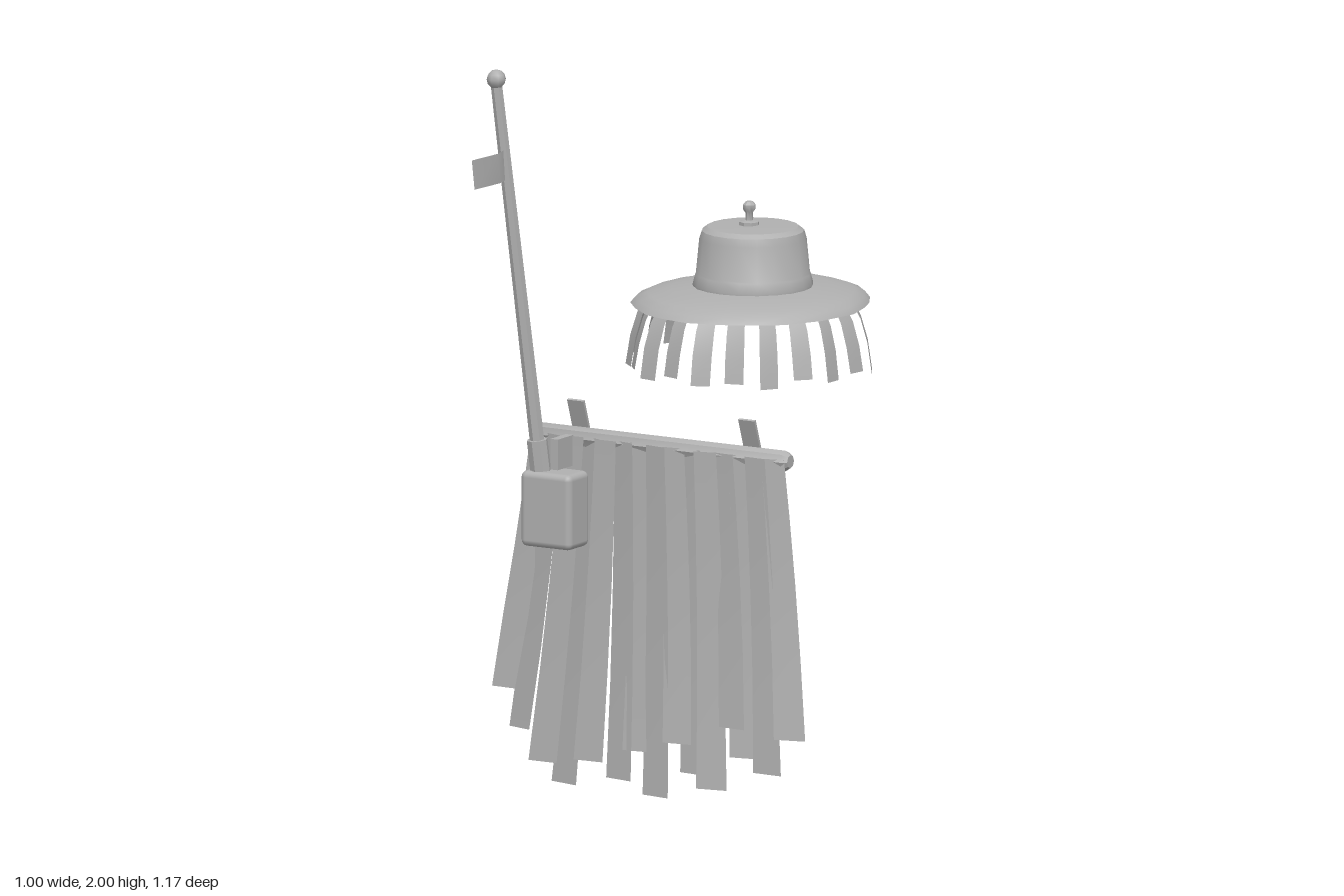
import * as THREE from 'three';
import { toCreasedNormals } from 'three/addons/utils/BufferGeometryUtils.js';
import { RoundedBoxGeometry } from 'three/addons/geometries/RoundedBoxGeometry.js';

const V = (x, y, z) => new THREE.Vector3(x, y, z);

// Surface through rows of points (all rows equally long)
function loft(rows, crease = 0.6) {
  const pos = [], idx = [], n = rows[0].length;
  rows.forEach(r => r.forEach(p => pos.push(p.x, p.y, p.z)));
  for (let i = 0; i < rows.length - 1; i++) for (let j = 0; j < n - 1; j++) {
    const a = i * n + j, b = a + 1, c = a + n, d = c + 1;
    idx.push(a, c, b, b, c, d);
  }
  const g = new THREE.BufferGeometry();
  g.setAttribute('position', new THREE.Float32BufferAttribute(pos, 3));
  g.setIndex(idx);
  return toCreasedNormals(g, crease);
}

// Flat band following centre points, spread along a side direction
function ribbon(centres, widths, side) {
  return loft(centres.map((c, i) => [-0.5, 0.5].map(s => c.clone().addScaledVector(side, s * widths[i]))));
}

export function createModel() {
  const grey = new THREE.MeshStandardMaterial({ color: 0xb0b0b0, side: THREE.DoubleSide });
  grey.name = 'grey';
  const model = new THREE.Group();
  const group = (name) => { const g = new THREE.Group(); g.name = name; model.add(g); return g; };
  const add = (parent, name, geo, x = 0, y = 0, z = 0) => {
    const m = new THREE.Mesh(geo, grey);
    m.name = name;
    m.position.set(x, y, z);
    parent.add(m);
    return m;
  };
  const lathe = (pts, seg) => toCreasedNormals(
    new THREE.LatheGeometry(pts.map(p => new THREE.Vector2(...p)), seg), 0.6);
  // Tapered rod between two points
  const rod = (parent, name, a, b, ra, rb, sides) => {
    const m = add(parent, name, toCreasedNormals(new THREE.CylinderGeometry(rb, ra, a.distanceTo(b), sides), 0.6));
    m.position.copy(a).lerp(b, 0.5);
    m.quaternion.setFromUnitVectors(V(0, 1, 0), b.clone().sub(a).normalize());
    return m;
  };

  // ---- Hat ----
  const hat = group('hat');
  const cx = 0, cz = -0.235;
  add(hat, 'crown', lathe([[0.163, 1.322], [0.165, 1.335], [0.158, 1.362], [0.156, 1.366],
    [0.147, 1.46], [0.14, 1.482], [0.125, 1.493], [0, 1.497]], 20), cx, 0, cz);
  add(hat, 'knob', lathe([[0.028, 1.49], [0.028, 1.505], [0.011, 1.509], [0.011, 1.53],
    [0.018, 1.54], [0.018, 1.552], [0.01, 1.561], [0, 1.562]], 8), -0.01, 0, -0.232);

  // Brim with an uneven edge
  const edge = [[0, -0.585], [-0.09, -0.56], [-0.16, -0.51], [-0.245, -0.475], [-0.31, -0.32],
    [-0.322, -0.22], [-0.313, -0.14], [-0.285, -0.06], [-0.23, 0.005], [-0.15, 0.075], [-0.08, 0.1],
    [0, 0.115], [0.1, 0.09], [0.18, 0.05], [0.245, 0], [0.3, -0.1], [0.325, -0.23], [0.3, -0.33],
    [0.272, -0.4], [0.23, -0.47], [0.17, -0.53], [0.09, -0.565], [0, -0.585]];
  const rings = [[0, 1.33], [0.4, 1.323], [0.75, 1.311], [0.92, 1.298], [1, 1.281]];
  add(hat, 'brim', loft(rings.map(([t, y]) => edge.map(([x, z]) => {
    const dx = x - cx, dz = z - cz, r = Math.hypot(dx, dz), k = (0.155 + (r - 0.155) * t) / r;
    return V(cx + dx * k, y, cz + dz * k);
  })), 1));

  // Short strips hanging from the front and sides of the brim
  const drops = [1.12, 1.105, 1.125, 1.11];
  const count = 14;
  for (let i = 0; i < count; i++) {
    const a = THREE.MathUtils.degToRad(-106 + 212 * i / (count - 1));
    const low = drops[i % 4], at = (r, y) => V(cx + Math.sin(a) * r * 0.96, y, cz + Math.cos(a) * r * 1.02);
    const twist = a + (i % 2 ? 0.25 : -0.15);
    add(hat, 'brimStrip', ribbon([at(0.29, 1.3), at(0.315, 1.255), at(0.335, 1.19), at(0.348, low)],
      [0.045, 0.05, 0.053, 0.053], V(Math.cos(twist), 0, -Math.sin(twist))));
  }

  // Small lamp under the back of the brim
  rod(hat, 'lamp', V(0.1, 1.247, -0.36), V(0.1, 1.247, -0.455), 0.028, 0.028, 10);
  rod(hat, 'lampStem', V(0.1, 1.25, -0.4), V(0.1, 1.315, -0.4), 0.01, 0.01, 6);

  // ---- Cape ----
  const cape = group('cape');
  const bar = add(cape, 'shoulderBar', lathe([[0, -0.412], [0.018, -0.412], [0.029, -0.395],
    [0.029, 0.395], [0.018, 0.412], [0, 0.412]], 8), 0, 0.958, 0.238);
  bar.rotation.z = Math.PI / 2;

  // Hanging strips: bottom centre x, bottom width, bottom y
  const strips = [[-0.463, 0.075, 0.255], [-0.405, 0.08, 0.15], [-0.335, 0.09, 0.062], [-0.27, 0.095, 0.008],
    [-0.185, 0.09, 0.08], [-0.092, 0.09, 0.037], [-0.035, 0.09, 0.12], [0.03, 0.09, 0.003], [0.095, 0.085, 0.155],
    [0.142, 0.085, 0.075], [0.21, 0.09, 0.04], [0.27, 0.085, 0.215], [0.305, 0.08, 0.135],
    [0.388, 0.092, 0.1], [0.456, 0.09, 0.2]];
  strips.forEach(([xb, w, yb], i) => {
    const xt = -0.372 + 0.744 * i / (strips.length - 1);
    const off = [0, 0.012, 0.005][i % 3] + 0.004;
    const tilt = (i % 2 ? 0.16 : -0.1) - xb * 0.3;
    const pts = [0, 0.2, 0.45, 0.72, 1].map(t => V(
      xt + (xb - xt) * t, 0.965 + (yb - 0.965) * t, 0.258 + off + 0.006 * t + 0.042 * t * t));
    add(cape, 'capeStrip', ribbon(pts, [0.066, 0.07, 0.076, 0.082, w], V(Math.cos(tilt), 0, Math.sin(tilt))));
  });

  // Tilted tabs behind the bar
  for (const x of [-0.275, 0.273]) {
    const tab = add(cape, 'tab', new THREE.BoxGeometry(0.052, 0.134, 0.008), x, 0.997, 0.217);
    tab.rotation.x = 0.34;
  }

  // ---- Pole and its holder ----
  const pole = group('pole');
  add(pole, 'pouch', new RoundedBoxGeometry(0.162, 0.21, 0.108, 2, 0.018), -0.282, 0.775, 0.337);
  add(pole, 'bracket', new THREE.BoxGeometry(0.024, 0.085, 0.085), -0.28, 0.925, 0.302);
  const foot = V(-0.317, 0.86, 0.35), tip = V(-0.4, 1.965, 0.45);
  rod(pole, 'socket', foot, foot.clone().lerp(tip, 0.095), 0.029, 0.029, 8);
  rod(pole, 'shaft', foot, tip, 0.021, 0.016, 7);
  add(pole, 'tipBall', new THREE.SphereGeometry(0.027, 8, 6), -0.4, 1.973, 0.45);
  add(pole, 'flag', ribbon([V(-0.382, 1.734, 0.43), V(-0.366, 1.735, 0.49), V(-0.395, 1.728, 0.578)],
    [0.085, 0.085, 0.085], V(0, 0.985, 0.17)));

  return model;
}
